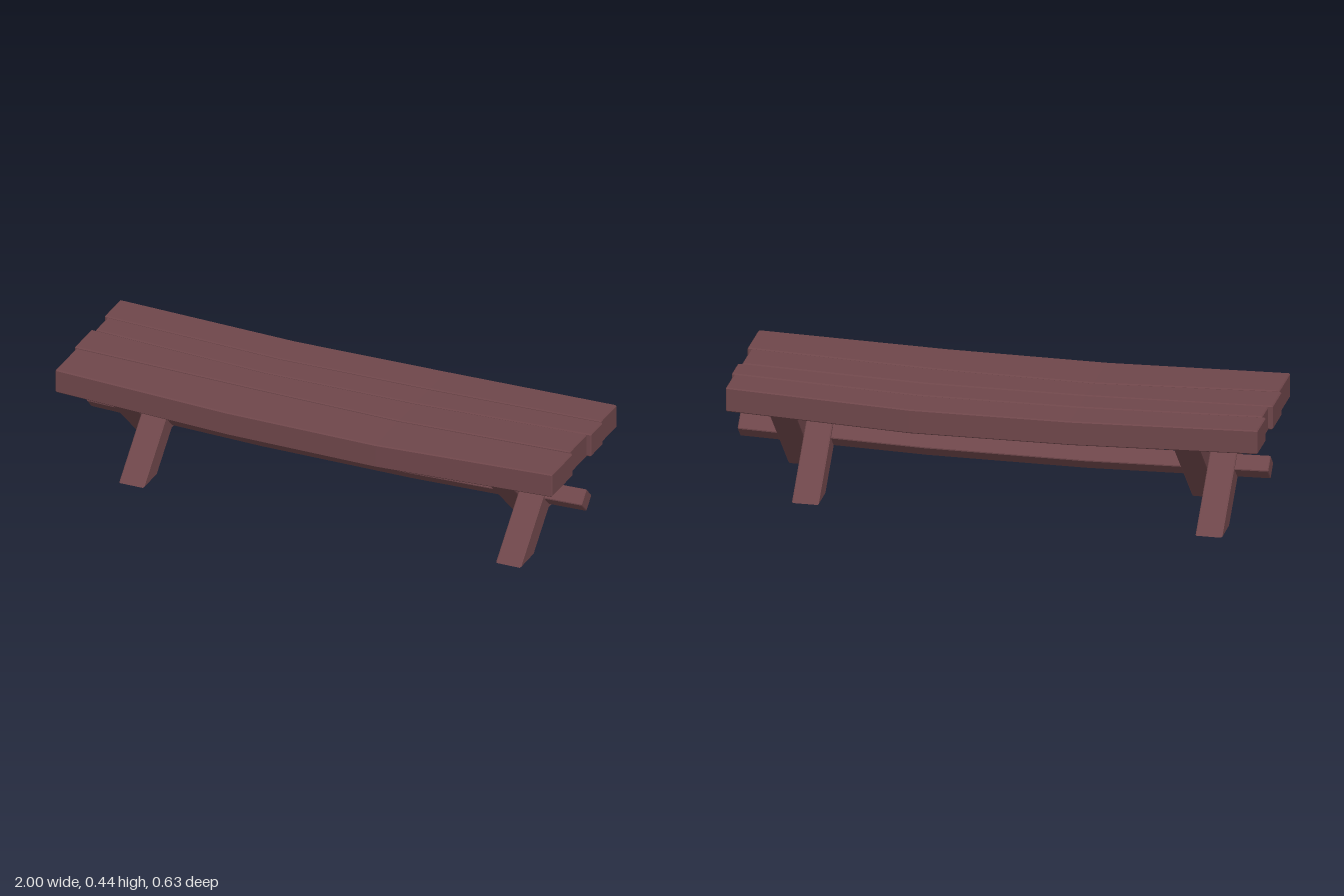
import * as THREE from 'three';

const wood = new THREE.MeshStandardMaterial({ color: 0x6e464a, flatShading: true });
wood.name = 'reddish brown wood';

// Beam along x through sections [x, y, z, height, width], with bevelled edges and ends
function beam(name, sections, bevel, angle = 0) {
  const c = Math.cos(angle), s = Math.sin(angle);
  const ring = ([x, y, z, h, w], inset = 0) => {
    const a = w / 2 - inset, b = h / 2 - inset, k = bevel - inset * 0.9;
    return [[a, k - b], [a, b - k], [a - k, b], [k - a, b], [-a, b - k], [-a, k - b], [k - a, -b], [a - k, -b]]
      .map(([u, v]) => [x, y + u * s + v * c, z - (u * c - v * s)]);
  };
  const first = sections[0], last = sections[sections.length - 1];
  const rings = [ring(first, bevel)];
  sections.forEach((sec, i) => {
    const x = sec[0] + (i === 0 ? bevel : sec === last ? -bevel : 0);
    rings.push(ring([x, ...sec.slice(1)]));
  });
  rings.push(ring(last, bevel));

  const pos = [];
  const tri = (...p) => p.forEach((q) => pos.push(...q));
  for (let i = 0; i < rings.length - 1; i++) {
    for (let j = 0; j < 8; j++) {
      const k = (j + 1) % 8, A = rings[i], B = rings[i + 1];
      tri(A[j], A[k], B[j]);
      tri(A[k], B[k], B[j]);
    }
  }
  const start = rings[0], end = rings[rings.length - 1];
  for (let j = 1; j < 7; j++) {
    tri(end[0], end[j], end[j + 1]);
    tri(start[0], start[j + 1], start[j]);
  }
  const geo = new THREE.BufferGeometry();
  geo.setAttribute('position', new THREE.Float32BufferAttribute(pos, 3));
  geo.computeVertexNormals();
  const mesh = new THREE.Mesh(geo, wood);
  mesh.name = name;
  return mesh;
}

// Slanted leg: outline in (z, y), 0.1 thick along x
function leg(name, outline, x) {
  const bevel = 0.004;
  const shape = new THREE.Shape(outline.map(([z, y]) => new THREE.Vector2(-z, y)));
  const geo = new THREE.ExtrudeGeometry(shape, {
    depth: 0.1 - 2 * bevel, bevelThickness: bevel, bevelSize: bevel, bevelOffset: -bevel, bevelSegments: 1,
  });
  geo.translate(0, 0, bevel).rotateY(Math.PI / 2);
  const mesh = new THREE.Mesh(geo, wood);
  mesh.position.x = x;
  mesh.name = name;
  return mesh;
}

export function createModel() {
  const table = new THREE.Group();
  table.name = 'plankTable';

  // Table top: sagging planks, back and front edge z at four stations
  const planks = [
    ['backPlank', -1, 0.99, [[-0.3, -0.16], [-0.305, -0.159], [-0.317, -0.17], [-0.3, -0.16]]],
    ['middleBackPlank', -0.985, 1, [[-0.154, -0.049], [-0.153, -0.038], [-0.163, -0.046], [-0.154, -0.049]]],
    ['middleFrontPlank', -1, 0.985, [[-0.045, 0.104], [-0.033, 0.09], [-0.04, 0.102], [-0.045, 0.104]]],
    ['frontPlank', -0.99, 1, [[0.112, 0.297], [0.097, 0.307], [0.109, 0.313], [0.112, 0.297]]],
  ];
  for (const [name, x0, x1, edges] of planks) {
    const xs = [x0, -0.3, 0.3, x1], ys = [0.397, 0.376, 0.376, 0.397];
    table.add(beam(name, edges.map(([a, b], i) => [xs[i], ys[i], (a + b) / 2, 0.093, b - a]), 0.004));
  }

  // Diamond-section stretcher through the leg crossings
  table.add(beam('stretcher', [
    [-0.985, 0.191, -0.011, 0.064, 0.064],
    [-0.3, 0.174, -0.011, 0.064, 0.064],
    [0.3, 0.174, -0.011, 0.064, 0.064],
    [1, 0.191, -0.011, 0.064, 0.064],
  ], 0.003, Math.PI / 4));

  // Crossed legs, two side by side at each end
  const rising = [[0.242, 0], [0.125, 0], [-0.232, 0.347], [-0.113, 0.347]];
  const falling = [[-0.148, 0], [-0.266, 0], [0.092, 0.347], [0.212, 0.347]];
  for (const [side, x] of [['right', -0.86], ['left', 0.65]]) {
    const trestle = new THREE.Group();
    trestle.name = side + 'CrossedLegs';
    trestle.add(leg(side + 'BackLeg', falling, x), leg(side + 'FrontLeg', rising, x + 0.1));
    table.add(trestle);
  }
  return table;
}
